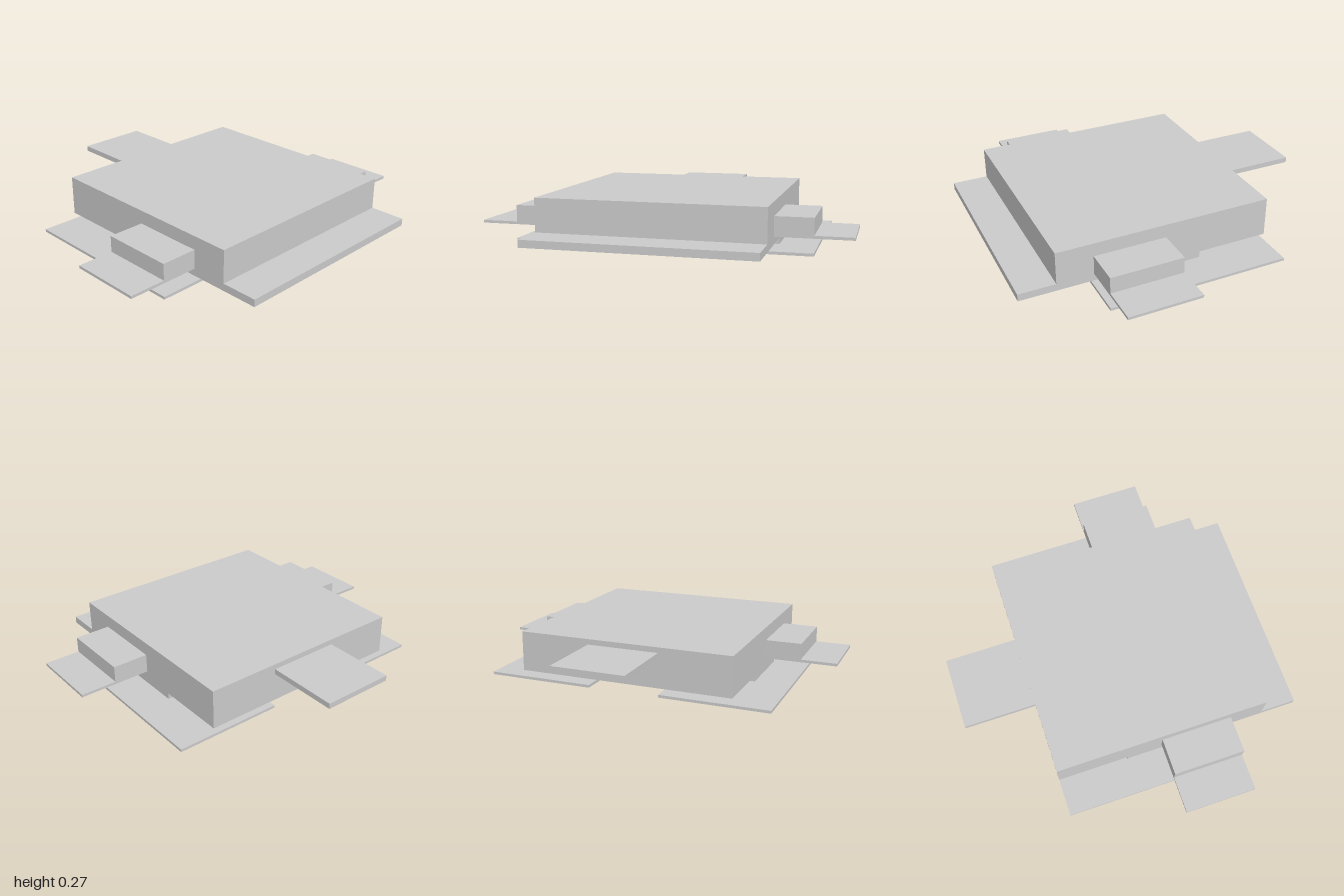
import * as THREE from 'three';

const material = new THREE.MeshStandardMaterial({ color: 0xcccccc, flatShading: true });

// Box given by its [min, max] extent along each axis
function slab(name, [x0, x1], [y0, y1], [z0, z1]) {
  const mesh = new THREE.Mesh(new THREE.BoxGeometry(x1 - x0, y1 - y0, z1 - z0), material);
  mesh.name = name;
  mesh.position.set((x0 + x1) / 2, (y0 + y1) / 2, (z0 + z1) / 2);
  return mesh;
}

export function createModel() {
  const model = new THREE.Group();
  model.name = 'flatCreature';

  // Central block with a low lip on one side and a raised tail on the other
  model.add(
    slab('body', [-0.5, 0.7], [0.05, 0.27], [-0.6, 0.6]),
    slab('lip', [0.7, 0.9], [0.05, 0.09], [-0.6, 0.6]),
    slab('tail', [-0.9, -0.5], [0.21, 0.24], [-0.2, 0.2])
  );

  // Limbs, mirrored across z
  for (const [side, s] of [['front', 1], ['back', -1]]) {
    const span = (a, b) => (s > 0 ? [a, b] : [-b, -a]);
    model.add(
      slab(side + 'Arm', [0.1, 0.5], [0.105, 0.195], span(0.6, 0.8)),
      slab(side + 'Hand', [0.1, 0.5], [0.09, 0.105], span(0.6, 1)),
      slab(side + 'Leg', [-0.1, 0.3], [0.015, 0.05], span(0.4, 0.6)),
      slab(side + 'Foot', [-0.5, 0.5], [0, 0.015], span(0.2, 0.8))
    );
  }
  return model;
}
